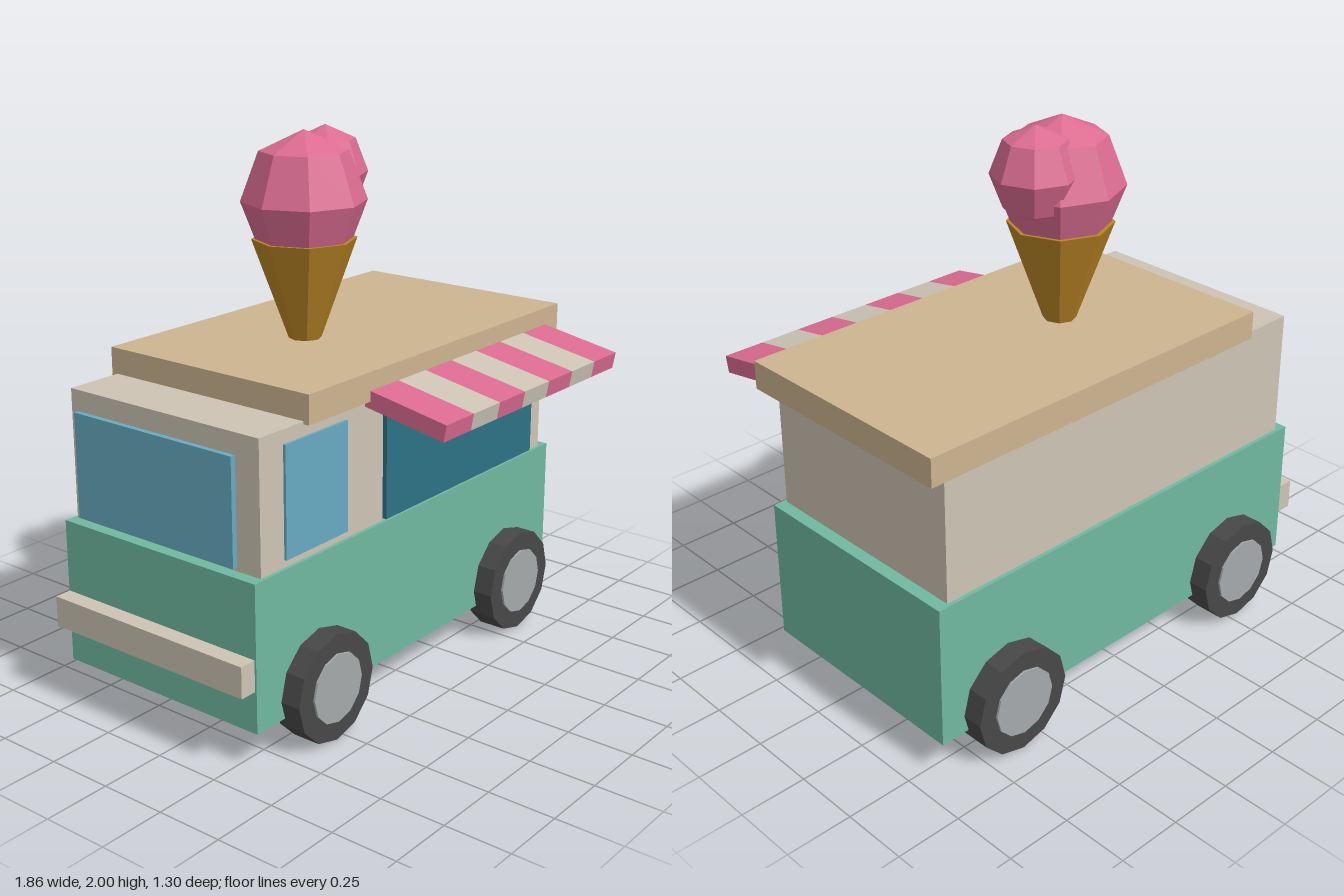
import * as THREE from 'three';

const mat = (name, color, flatShading = true) => {
  const m = new THREE.MeshStandardMaterial({ color, flatShading });
  m.name = name;
  return m;
};

export function createModel() {
  const green = mat('mint green', 0x70b9a1);
  const cream = mat('cream', 0xcdc4b5);
  const tan = mat('roof tan', 0xcdb490);
  const glass = mat('window blue', 0x67abc2);
  const hatch = mat('hatch teal', 0x2d7286);
  const pink = mat('pink', 0xdb6c91);
  const tyreGrey = mat('tyre grey', 0x484848);
  const hubGrey = mat('hub grey', 0xa4a9ab);
  const wafer = mat('wafer gold', 0xb98524);

  const van = new THREE.Group();
  van.name = 'iceCreamVan';

  const add = (parent, name, geometry, material, x = 0, y = 0, z = 0) => {
    const mesh = new THREE.Mesh(geometry, material);
    mesh.name = name;
    mesh.position.set(x, y, z);
    parent.add(mesh);
    return mesh;
  };

  // Box given by its lower and upper limits on each axis
  const box = (name, material, [x0, x1], [y0, y1], [z0, z1], parent = van) =>
    add(parent, name, new THREE.BoxGeometry(x1 - x0, y1 - y0, z1 - z0), material,
      (x0 + x1) / 2, (y0 + y1) / 2, (z0 + z1) / 2);

  // Bodywork
  box('lowerBody', green, [-0.865, 0.9], [0.135, 0.675], [-0.565, 0.325]);
  box('upperBody', cream, [-0.82, 0.853], [0.67, 1.155], [-0.55, 0.312]);
  box('roof', tan, [-0.6, 0.925], [1.145, 1.25], [-0.575, 0.335]);
  box('bumper', cream, [-0.93, -0.85], [0.29, 0.405], [-0.563, 0.318]);

  // Windows
  box('windscreen', glass, [-0.87, -0.85], [0.705, 1.092], [-0.485, 0.237]);
  box('sideWindow', glass, [-0.703, -0.381], [0.703, 1.104], [0.305, 0.322]);
  box('servingHatch', hatch, [-0.172, 0.768], [0.684, 1.104], [0.305, 0.329]);

  // Striped awning sloping down and outwards
  const awning = new THREE.Group();
  awning.name = 'awning';
  awning.position.set(-0.275, 1.158, 0.305);
  awning.rotation.x = 0.18;
  van.add(awning);
  const stripes = 7, stripeWidth = 1.112 / stripes;
  for (let i = 0; i < stripes; i++) {
    box('awningStripe', i % 2 ? cream : pink,
      [i * stripeWidth, (i + 1) * stripeWidth], [-0.033, 0.03], [0, 0.345], awning);
  }

  // Wheels: a tyre with a slightly proud hub
  const tyreGeometry = new THREE.CylinderGeometry(0.2, 0.2, 0.108, 12).rotateX(Math.PI / 2);
  const hubGeometry = new THREE.CylinderGeometry(0.128, 0.128, 0.124, 12).rotateX(Math.PI / 2);
  for (const x of [-0.542, 0.603]) {
    for (const z of [0.349, -0.589]) {
      const wheel = new THREE.Group();
      wheel.name = z > 0 ? 'leftWheel' : 'rightWheel';
      wheel.position.set(x, 0.202, z);
      add(wheel, 'tyre', tyreGeometry, tyreGrey);
      add(wheel, 'hub', hubGeometry, hubGrey);
      van.add(wheel);
    }
  }

  // Rooftop ice cream
  const iceCream = new THREE.Group();
  iceCream.name = 'iceCream';
  van.add(iceCream);
  add(iceCream, 'cone', new THREE.CylinderGeometry(0.19, 0.058, 0.37, 8), wafer, -0.07, 1.43, -0.122);
  const scoopGeometry = new THREE.SphereGeometry(1, 8, 4);
  add(iceCream, 'largeScoop', scoopGeometry, pink, -0.07, 1.75, -0.122).scale.set(0.228, 0.25, 0.226);
  add(iceCream, 'smallScoop', scoopGeometry, pink, 0.075, 1.83, -0.145).scale.set(0.157, 0.17, 0.156);

  return van;
}
